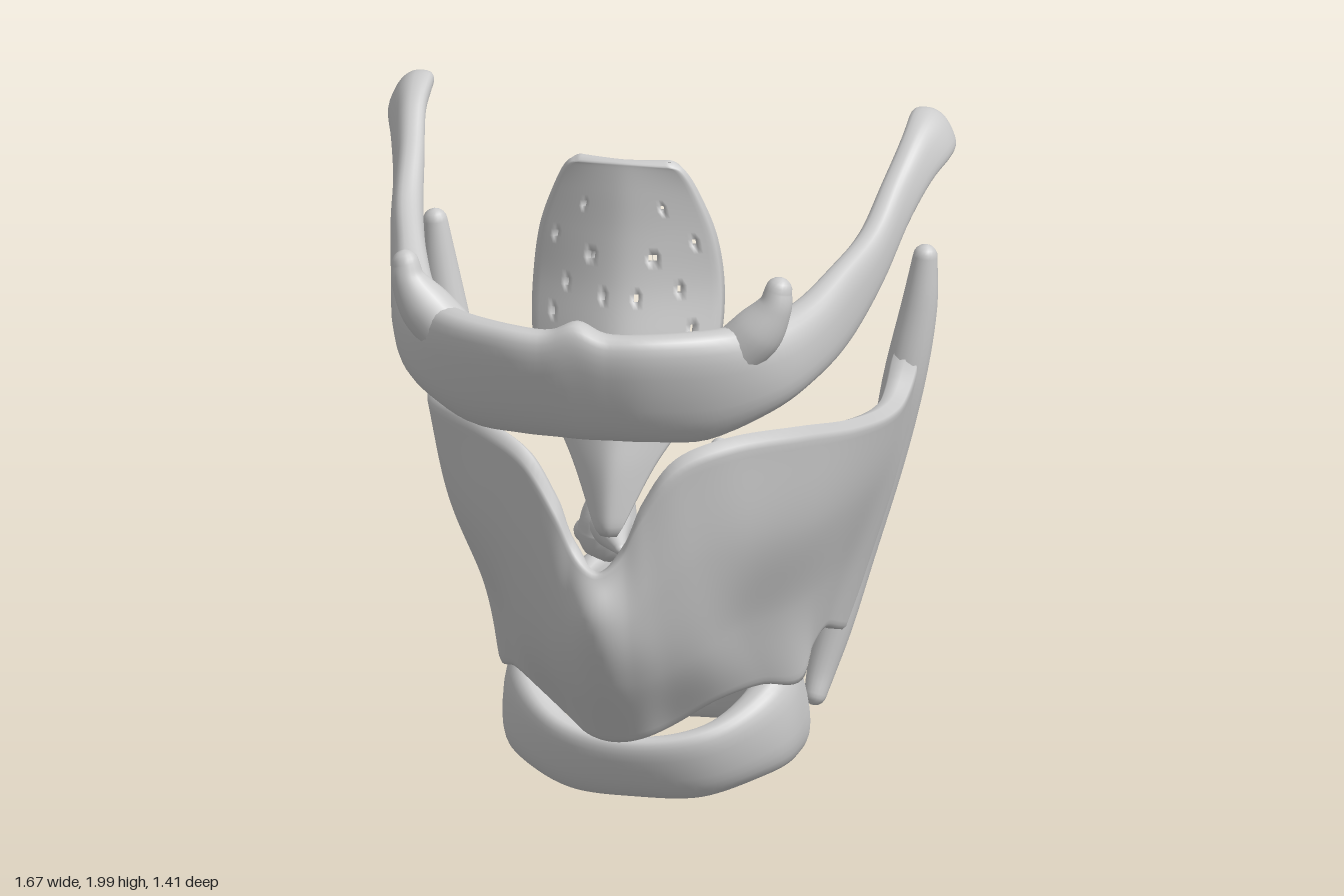
import * as THREE from 'three';
import { mergeVertices } from 'three/addons/utils/BufferGeometryUtils.js';

const material = new THREE.MeshStandardMaterial({ color: 0xcccccc, roughness: 0.7 });
const V = (x, y, z) => new THREE.Vector3(x, y, z);
const flip = (p) => [-p[0], ...p.slice(1)];

// Catmull-Rom through rows of numbers, t in 0..1
function spline(rows, t, closed = false) {
  const n = rows.length, spans = closed ? n : n - 1;
  const i = Math.min(Math.floor(t * spans), spans - 1), f = t * spans - i;
  const at = (k, c) => {
    if (closed) return rows[(k + n) % n][c];
    if (k < 0) return 2 * rows[0][c] - rows[1][c];
    if (k >= n) return 2 * rows[n - 1][c] - rows[n - 2][c];
    return rows[k][c];
  };
  return rows[0].map((_, c) => {
    const a = at(i - 1, c), b = at(i, c), d = at(i + 1, c), e = at(i + 2, c);
    return b + 0.5 * f * (d - a + f * (2 * a - 5 * b + 4 * d - e + f * (3 * (b - d) + e - a)));
  });
}

function buildMesh(name, points, index) {
  let g = new THREE.BufferGeometry().setFromPoints(points);
  g.setIndex(index);
  g = mergeVertices(g, 1e-5);
  g.computeVertexNormals();
  const mesh = new THREE.Mesh(g, material);
  mesh.name = name;
  return mesh;
}

// Skin over a row of rings, closed into a loop or capped at both ends
function loft(name, rings, closed = false) {
  const m = rings[0].length, n = rings.length, points = rings.flat(), index = [];
  for (let i = 0; i < (closed ? n : n - 1); i++) for (let j = 0; j < m; j++) {
    const k = (j + 1) % m, a = i * m, b = ((i + 1) % n) * m;
    index.push(a + j, b + j, a + k, b + j, b + k, a + k);
  }
  if (!closed) for (const [i, start] of [[0, true], [n - 1, false]]) {
    const c = points.length;
    points.push(rings[i].reduce((s, p) => s.add(p), V(0, 0, 0)).divideScalar(m));
    for (let j = 0; j < m; j++) {
      const p = i * m + j, q = i * m + (j + 1) % m;
      index.push(c, start ? p : q, start ? q : p);
    }
  }
  return buildMesh(name, points, index);
}

// Band with upright sections; stations are [x, y, z, halfThickness, halfHeight, lean]
function band(name, stations, steps, closed) {
  const rings = [], power = (c) => Math.sign(c) * Math.abs(c) ** 0.8;
  for (let i = 0; i < steps; i++) {
    const t = i / (closed ? steps : steps - 1);
    const [x, y, z, a, b, lean] = spline(stations, t, closed);
    const e = 0.002, t0 = closed ? (t - e + 1) % 1 : Math.max(t - e, 0), t1 = closed ? (t + e) % 1 : Math.min(t + e, 1);
    const p = spline(stations, t0, closed), q = spline(stations, t1, closed);
    const n = V(p[2] - q[2], 0, q[0] - p[0]).normalize();
    rings.push(Array.from({ length: 28 }, (_, j) => {
      const w = j / 28 * Math.PI * 2, s = power(Math.sin(w));
      const out = Math.max(a, 0.006) * power(Math.cos(w)) + lean * s;
      return V(x + n.x * out, y + Math.max(b, 0.006) * s, z + n.z * out);
    }));
  }
  return loft(name, rings, closed);
}

// Round limb with domed ends; stations are [x, y, z, radius]
function limb(name, stations, steps = 30) {
  const rings = [], at = (t) => spline(stations, t);
  const ring = (t, cap) => {
    const p = at(t), T = V(...at(Math.min(t + 0.01, 1))).sub(V(...at(Math.max(t - 0.01, 0)))).normalize();
    const N = V(0.31, 0.2, 0.93).cross(T).normalize(), B = N.clone().cross(T);
    const r = Math.max(p[3], 0.005), c = V(p[0], p[1], p[2]).addScaledVector(T, r * Math.sin(cap));
    rings.push(Array.from({ length: 18 }, (_, j) => {
      const w = j / 18 * Math.PI * 2, s = r * Math.cos(cap);
      return c.clone().addScaledVector(N, s * Math.cos(w)).addScaledVector(B, s * Math.sin(w));
    }));
  };
  for (const a of [-1.4, -1.05, -0.7, -0.35]) ring(0, a);
  for (let i = 0; i <= steps; i++) ring(i / steps, 0);
  for (const a of [0.35, 0.7, 1.05, 1.4]) ring(1, a);
  return loft(name, rings);
}

// Curved plate with rounded rim and optional pores, from a surface at(u, v) and half thickness half(u)
function plate(name, at, nu, nv, half, rim, pores = []) {
  const points = [[], []], index = [], e = 0.004;
  const round = (s) => Math.sqrt(1 - Math.max(0, 1 - Math.min(s, 1 - s) / rim) ** 2);
  for (let i = 0; i <= nu; i++) for (let j = 0; j <= nv; j++) {
    const u = i / nu, v = j / nv, p = at(u, v);
    const du = at(Math.min(u + e, 1), v).sub(at(Math.max(u - e, 0), v));
    const dv = at(u, Math.min(v + e, 1)).sub(at(u, Math.max(v - e, 0)));
    const n = du.cross(dv).normalize().multiplyScalar(half(u) * round(u) * round(v));
    points[0].push(p.clone().add(n));
    points[1].push(p.clone().sub(n));
  }
  const back = points[0].length, open = new Set(pores.map(([u, v]) => Math.floor(u * nu) + ',' + Math.floor(v * nv)));
  for (let i = 0; i < nu; i++) for (let j = 0; j < nv; j++) {
    const a = i * (nv + 1) + j, b = a + nv + 1, c = b + 1, d = a + 1, k = back;
    if (open.has(i + ',' + j)) {
      for (const [p, q] of [[a, b], [b, c], [c, d], [d, a]]) index.push(p + k, p, q + k, p, q, q + k);
    } else {
      index.push(a, b, d, b, c, d, a + k, d + k, b + k, b + k, d + k, c + k);
    }
  }
  return buildMesh(name, points.flat(), index);
}

export function createModel() {
  const model = new THREE.Group();
  model.name = 'larynx';
  const mirrored = (name, stations) => {
    model.add(limb('left' + name, stations), limb('right' + name, stations.map(flip)));
  };

  // Hyoid bone: body and greater horns as one band
  const hyoid = [
    [0, 1.485, 0.597, 0.083, 0.195, 0.06], [0.08, 1.468, 0.592, 0.08, 0.178, 0.062],
    [0.2, 1.468, 0.574, 0.08, 0.178, 0.058], [0.36, 1.466, 0.495, 0.085, 0.177, 0.045],
    [0.49, 1.493, 0.375, 0.09, 0.14, 0.01], [0.575, 1.528, 0.23, 0.068, 0.122, 0],
    [0.635, 1.583, 0.05, 0.054, 0.122, 0], [0.685, 1.668, -0.13, 0.048, 0.098, 0],
    [0.72, 1.79, -0.3, 0.043, 0.08, -0.01], [0.752, 1.882, -0.43, 0.044, 0.075, -0.02],
    [0.77, 1.925, -0.53, 0.053, 0.072, -0.03], [0.772, 1.93, -0.59, 0.047, 0.058, -0.025],
    [0.772, 1.93, -0.614, 0.01, 0.012, 0],
  ];
  model.add(band('hyoidBone', [...hyoid.slice(1).reverse().map(flip), ...hyoid], 121, false));
  mirrored('LesserHorn', [[0.43, 1.56, 0.46, 0.08], [0.495, 1.63, 0.46, 0.075], [0.54, 1.7, 0.46, 0.052], [0.552, 1.752, 0.455, 0.04]]);

  // Epiglottis: leaf with pores; rows are [y, halfWidth, midZ, edgeZ]
  const leaf = [
    [0.9, 0.025, 0.26, 0.25], [1, 0.07, 0.25, 0.21], [1.1, 0.12, 0.235, 0.165], [1.2, 0.185, 0.21, 0.11],
    [1.31, 0.25, 0.18, 0.065], [1.45, 0.28, 0.145, 0.02], [1.6, 0.283, 0.1, -0.01], [1.75, 0.262, 0.075, -0.005],
    [1.88, 0.215, 0.065, 0.015], [1.955, 0.175, 0.06, 0.035], [1.98, 0.135, 0.06, 0.05],
  ];
  const pores = [[0.46, 0.76], [0.33, 0.66], [0.29, 0.66], [0.75, 0.69], [0.5, 0.31], [0.35, 0.46], [0.7, 0.53], [0.15, 0.58], [0.55, 0.6], [0.6, 0.4]]
    .flatMap(([u, v]) => [[0.5 + u / 2, v], [0.5 - u / 2, v + 0.005]]);
  model.add(plate('epiglottis', (u, v) => {
    const [y, w, mid, edge] = spline(leaf, v), s = 2 * u - 1;
    return V(w * s, y, mid + (edge - mid) * (s * s + 0.02) ** 0.65);
  }, 44, 66, () => 0.017, 0.05, pores));

  // Thyroid cartilage: columns from the midline to the rear border, each bottom to top
  const columns = [
    [[0, 0.25, 0.14], [0, 0.5, 0.33], [0, 0.7, 0.425], [0, 0.835, 0.385]],
    [[0.07, 0.26, 0.12], [0.08, 0.49, 0.29], [0.08, 0.69, 0.37], [0.075, 0.92, 0.37]],
    [[0.14, 0.285, 0.05], [0.15, 0.51, 0.25], [0.14, 0.74, 0.34], [0.13, 1.05, 0.37]],
    [[0.25, 0.345, -0.02], [0.25, 0.56, 0.18], [0.25, 0.85, 0.29], [0.22, 1.18, 0.35]],
    [[0.35, 0.35, -0.16], [0.33, 0.6, 0.05], [0.38, 0.9, 0.18], [0.36, 1.23, 0.26]],
    [[0.42, 0.31, -0.3], [0.42, 0.6, -0.12], [0.495, 0.9, 0], [0.52, 1.215, 0.07]],
    [[0.425, 0.385, -0.38], [0.475, 0.62, -0.28], [0.56, 0.9, -0.2], [0.61, 1.165, -0.17]],
    [[0.44, 0.425, -0.47], [0.505, 0.63, -0.46], [0.6, 0.9, -0.43], [0.658, 1.13, -0.42]],
    [[0.46, 0.4, -0.55], [0.525, 0.6, -0.57], [0.615, 0.9, -0.57], [0.675, 1.17, -0.545]],
    [[0.465, 0.37, -0.615], [0.53, 0.6, -0.66], [0.617, 0.9, -0.67], [0.695, 1.34, -0.645]],
  ];
  const shield = [...columns.slice(1).reverse().map((c) => c.map(flip)), ...columns];
  model.add(plate('thyroidCartilage', (u, v) => V(...spline(shield.map((c) => spline(c, v)), u)), 120, 48,
    (u) => 0.028 + 0.02 * Math.abs(2 * u - 1) ** 6, 0.04));

  // Rear border running into the upper and lower horns
  mirrored('ThyroidHorn', [
    [0.725, 1.515, -0.652, 0.036], [0.707, 1.36, -0.65, 0.053], [0.667, 1.15, -0.64, 0.062], [0.612, 0.9, -0.647, 0.055],
    [0.526, 0.6, -0.64, 0.052], [0.472, 0.4, -0.608, 0.05], [0.438, 0.27, -0.575, 0.042], [0.425, 0.2, -0.545, 0.033],
  ]);

  // Cricoid cartilage: signet-shaped ring, low in front and tall behind
  const ring = [
    [0, 0.105, -0.055, 0.05, 0.1, 0.038], [0.2, 0.125, -0.09, 0.058, 0.115, 0.03], [0.34, 0.195, -0.215, 0.07, 0.14, 0],
    [0.365, 0.245, -0.35, 0.07, 0.18, -0.02], [0.315, 0.315, -0.48, 0.068, 0.235, -0.065], [0.18, 0.355, -0.575, 0.068, 0.27, -0.03],
    [0, 0.345, -0.608, 0.066, 0.26, 0.005],
  ];
  model.add(band('cricoidCartilage', [...ring, ...ring.slice(1, -1).reverse().map(flip)], 96, true));

  // Arytenoid cartilages: broad-based peaks with forward and sideways processes
  mirrored('Arytenoid', [[0.185, 0.65, -0.53, 0.088], [0.18, 0.71, -0.53, 0.08], [0.165, 0.79, -0.545, 0.056], [0.147, 0.865, -0.565, 0.035], [0.135, 0.915, -0.575, 0.029]]);
  mirrored('VocalProcess', [[0.18, 0.69, -0.52, 0.078], [0.145, 0.675, -0.43, 0.045], [0.108, 0.66, -0.355, 0.018]]);
  mirrored('MuscularProcess', [[0.19, 0.68, -0.54, 0.075], [0.225, 0.66, -0.55, 0.058], [0.255, 0.64, -0.56, 0.038]]);

  return model;
}
